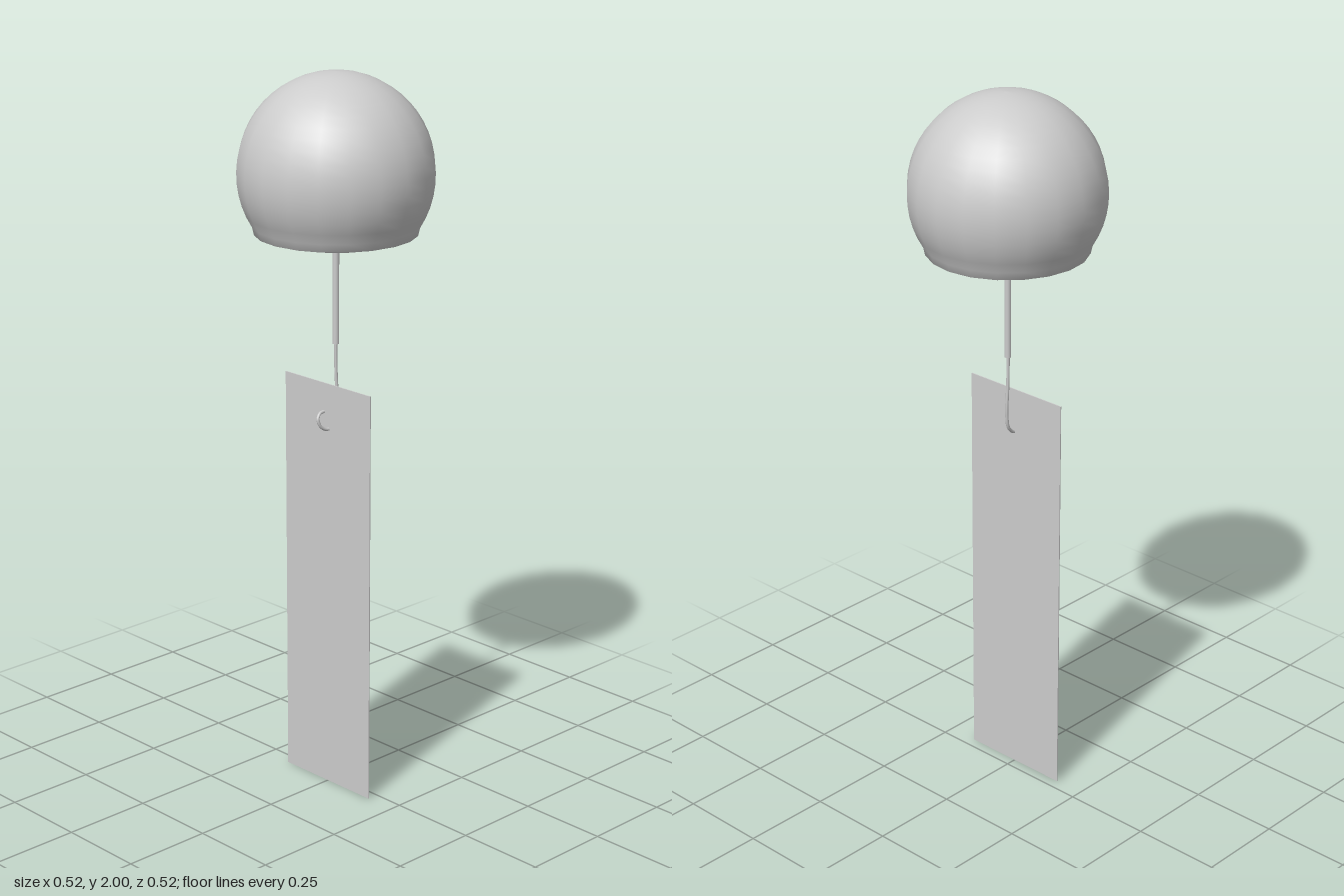
import * as THREE from 'three';

export function createModel() {
  const group = new THREE.Group();
  const grey = new THREE.MeshStandardMaterial({ color: 0xcccccc, side: THREE.DoubleSide });
  grey.name = 'plain grey';

  const add = (name, geometry, x = 0, y = 0, z = 0) => {
    const mesh = new THREE.Mesh(geometry, grey);
    mesh.name = name;
    mesh.position.set(x, y, z);
    group.add(mesh);
    return mesh;
  };

  // Open bell: a sphere cut off below its equator, with a small turned-in rim
  const profile = [new THREE.Vector2(0.207, 1.57), new THREE.Vector2(0.217, 1.573)];
  const start = -0.56, steps = 18;
  for (let i = 0; i <= steps; i++) {
    const a = start + (Math.PI / 2 - start) * i / steps;
    profile.push(new THREE.Vector2(Math.max(0, 0.262 * Math.cos(a)), 1.735 + 0.265 * Math.sin(a)));
  }
  add('bell', new THREE.LatheGeometry(profile, 20));

  // Clapper rod hanging from the crown
  add('clapperRod', new THREE.CylinderGeometry(0.009, 0.009, 0.72, 12), -0.001, 1.63, 0);

  // Thin wire ending in a hook that passes through the paper strip
  const path = new THREE.CatmullRomCurve3([
    [-0.002, 1.29, 0], [-0.002, 1.2, -0.001], [0, 1.1, -0.003],
    [0.002, 1.06, 0.006], [0.004, 1.039, 0.032], [0.001, 1.05, 0.058],
    [-0.002, 1.073, 0.066], [-0.005, 1.086, 0.056], [-0.006, 1.088, 0.04],
  ].map(p => new THREE.Vector3(...p)));
  add('wireHook', new THREE.TubeGeometry(path, 48, 0.0045, 8, false));

  // Hanging paper strip
  add('paperStrip', new THREE.BoxGeometry(0.325, 1.165, 0.003), -0.001, 0.5825, 0.031);

  return group;
}
